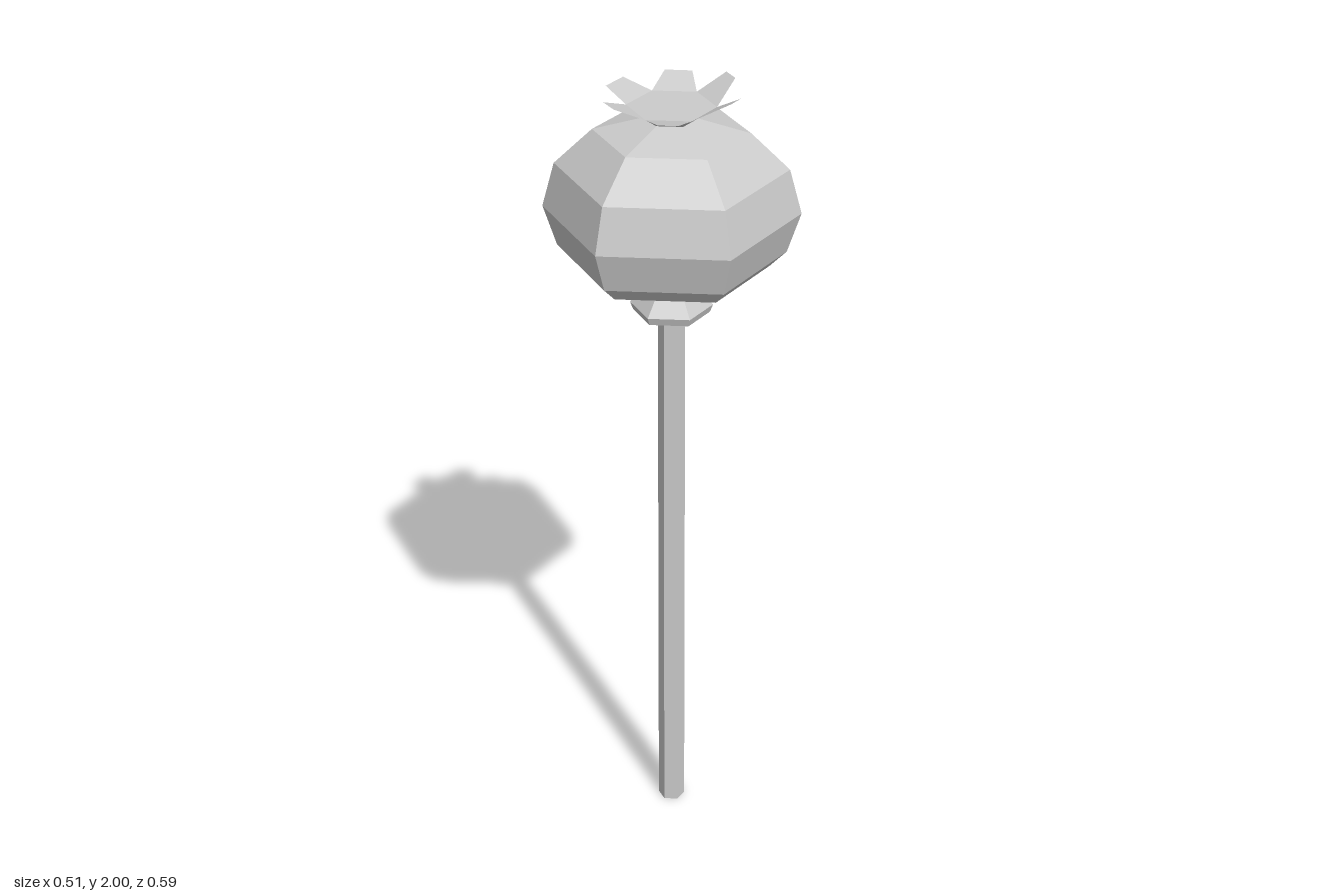
import * as THREE from 'three';

const material = new THREE.MeshStandardMaterial({ color: 0xcccccc, flatShading: true });
const sheet = new THREE.MeshStandardMaterial({ color: 0xcccccc, flatShading: true, side: THREE.DoubleSide });

// Six-sided turned part with corners on +z and -z; profile runs bottom to top as [radius, y]
function turned(name, profile) {
  const points = profile.map(([r, y]) => new THREE.Vector2(r, y));
  const mesh = new THREE.Mesh(new THREE.LatheGeometry(points, 6), material);
  mesh.name = name;
  return mesh;
}

// Flat petal growing out of one edge of the crown rim: a, b on the rim, c, d at the tip
function petal(a, b, c, d) {
  const geometry = new THREE.BufferGeometry();
  geometry.setAttribute('position', new THREE.Float32BufferAttribute([a, b, c, a, c, d].flat(), 3));
  geometry.computeVertexNormals();
  const mesh = new THREE.Mesh(geometry, sheet);
  mesh.name = 'crownPetal';
  return mesh;
}

export function createModel() {
  const group = new THREE.Group();
  group.name = 'seedPod';

  group.add(turned('stem', [[0, 0], [0.034, 0], [0.032, 1.44], [0, 1.44]]));

  // Flared collar and narrow neck under the pod
  group.add(turned('collar', [
    [0, 1.43], [0.052, 1.43], [0.09, 1.447], [0.097, 1.466], [0.066, 1.503], [0.066, 1.535], [0, 1.535],
  ]));

  group.add(turned('pod', [
    [0, 1.53], [0.065, 1.53], [0.13, 1.553], [0.226, 1.57], [0.264, 1.607],
    [0.295, 1.703], [0.266, 1.809], [0.178, 1.893], [0.055, 1.926], [0, 1.926],
  ]));

  // Crown: widening cup closed by a flat disc
  const rimR = 0.101, rimY = 1.953;
  const crown = new THREE.Group();
  crown.name = 'crown';
  crown.add(turned('crownCup', [[0, 1.92], [0.052, 1.92], [rimR, rimY], [0, rimY]]));

  // Petal tips counter-clockwise from the front right: [x1, z1, x2, z2, y]
  const tips = [
    [0.07, 0.155, 0.108, 0.133, 1.975],
    [0.168, 0.02, 0.168, -0.022, 2.0],
    [0.08, -0.135, 0.042, -0.157, 1.992],
    [-0.045, -0.15, -0.1, -0.12, 1.978],
    [-0.157, -0.037, -0.157, 0.03, 1.975],
    [-0.105, 0.113, -0.06, 0.135, 1.975],
  ];
  const rim = (i) => [rimR * Math.sin(i * Math.PI / 3), rimY, rimR * Math.cos(i * Math.PI / 3)];
  tips.forEach(([x1, z1, x2, z2, y], i) => {
    crown.add(petal(rim(i), rim(i + 1), [x2, y, z2], [x1, y, z1]));
  });
  group.add(crown);

  return group;
}
